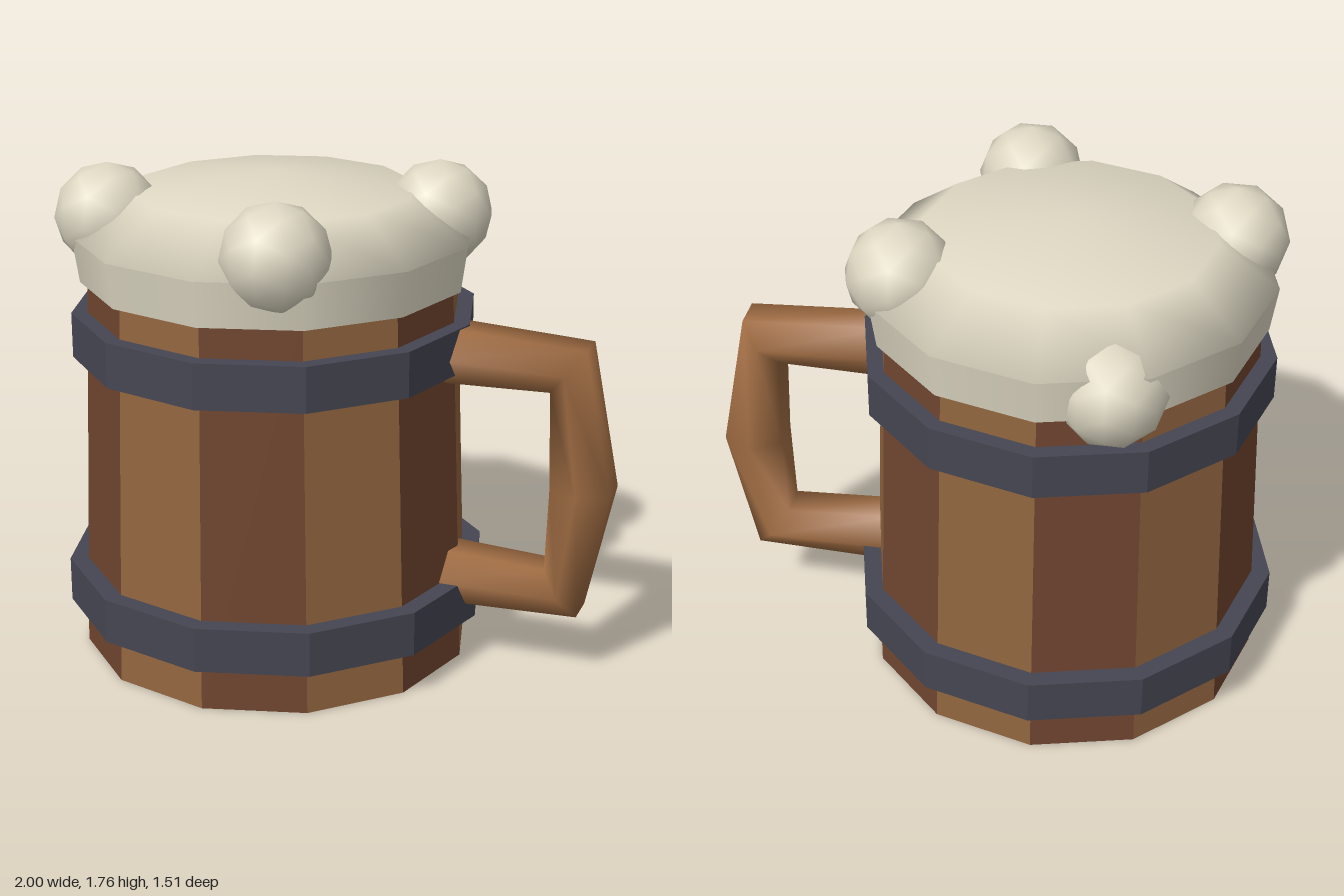
import * as THREE from 'three';

const mat = (name, color) => new THREE.MeshStandardMaterial({ name, color });
const AXIS = -0.24; // x of the mug's centre line
const SIDES = 12;

// Faceted normals for the wooden and iron parts
function faceted(geometry) {
  const g = geometry.toNonIndexed();
  g.computeVertexNormals();
  return g;
}

// Hexagonal bar swept through mitred sections: [x, y, outer edge dx, dy]
function sweepHexBar(sections, halfWidth) {
  const positions = [], index = [];
  for (const [x, y, dx, dy] of sections) {
    for (let j = 0; j < 6; j++) {
      const a = Math.PI / 6 + j * Math.PI / 3;
      const c = Math.cos(a) / Math.cos(Math.PI / 6);
      positions.push(x + dx * c, y + dy * c, Math.sin(a) * halfWidth);
    }
  }
  for (let i = 0; i < sections.length - 1; i++) {
    for (let j = 0; j < 6; j++) {
      const k = (j + 1) % 6;
      const a = i * 6 + j, b = i * 6 + k;
      index.push(a, b, a + 6, b, b + 6, a + 6);
    }
  }
  const g = new THREE.BufferGeometry();
  g.setAttribute('position', new THREE.Float32BufferAttribute(positions, 3));
  g.setIndex(index);
  g.computeVertexNormals();
  return g;
}

export function createModel() {
  const model = new THREE.Group();
  model.name = 'foamingMug';
  const darkWood = mat('darkWood', 0x70452f);
  const lightWood = mat('lightWood', 0x91653f);
  const handleWood = mat('handleWood', 0x9e6b42);
  const iron = mat('iron', 0x464653);
  const cream = mat('foam', 0xded8c3);

  function add(name, geometry, material, x, y, z = 0) {
    const mesh = new THREE.Mesh(geometry, material);
    mesh.name = name;
    mesh.position.set(x, y, z);
    model.add(mesh);
    return mesh;
  }

  // Tapered barrel, staves alternating between two woods
  const staves = faceted(new THREE.CylinderGeometry(0.653, 0.703, 1.4, SIDES, 1, true));
  staves.clearGroups();
  for (let i = 0; i < SIDES; i++) staves.addGroup(i * 6, 6, i % 2);
  add('staves', staves, [darkWood, lightWood], AXIS, 0.7);

  // Floor of the barrel
  const floor = new THREE.CircleGeometry(0.703, SIDES).rotateX(Math.PI / 2);
  add('base', floor, lightWood, AXIS, 0);

  // Iron hoops
  for (const [name, radius, y] of [['lowerHoop', 0.757, 0.245], ['upperHoop', 0.715, 1.17]]) {
    add(name, faceted(new THREE.CylinderGeometry(radius, radius, 0.16, SIDES)), iron, AXIS, y);
  }

  // Angular handle
  add('handle', sweepHexBar([
    [0.38, 1.15, 0, 0.1],
    [0.84, 1.14, 0.06, 0.08],
    [0.895, 0.71, 0.105, 0],
    [0.84, 0.327, 0.06, -0.08],
    [0.38, 0.33, 0, -0.1],
  ], 0.12), handleWood, 0, 0);

  // Foam collar and shallow dome
  add('foamCollar', new THREE.CylinderGeometry(0.703, 0.68, 0.16, SIDES), cream, AXIS, 1.44);
  const dome = new THREE.SphereGeometry(0.703, SIDES, 2, 0, Math.PI * 2, 0, Math.PI / 2);
  add('foamDome', dome.scale(1, 0.3, 1), cream, AXIS, 1.52);

  // Foam bubbles around the rim, one drooping low at the back
  const heights = [1.575, 1.575, 1.41, 1.575];
  heights.forEach((y, i) => {
    const a = Math.atan2(0.53, 0.22) + i * Math.PI / 2;
    const bubble = new THREE.IcosahedronGeometry(0.187, 1);
    add('foamBubble', bubble, cream, AXIS + Math.cos(a) * 0.574, y, Math.sin(a) * 0.574);
  });

  return model;
}
